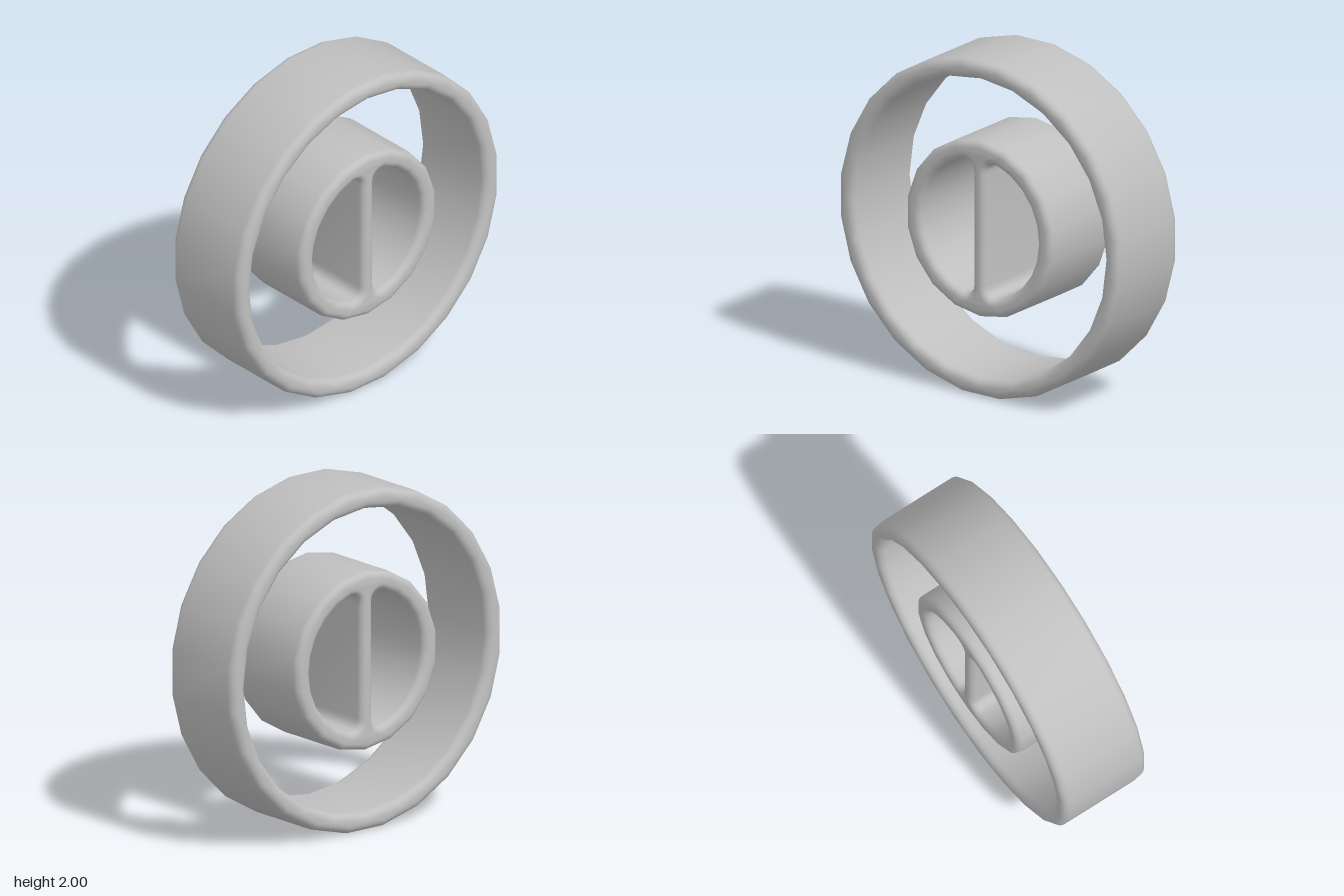
import * as THREE from 'three';
import { toCreasedNormals } from 'three/addons/utils/BufferGeometryUtils.js';

const HALF_DEPTH = 0.283;

// Points on a circle; 'start' and 'end' in degrees
function arc(radius, start, end, steps) {
  return Array.from({ length: steps + 1 }, (_, i) => {
    const a = THREE.MathUtils.degToRad(start + ((end - start) * i) / steps);
    return new THREE.Vector2(Math.cos(a) * radius, Math.sin(a) * radius);
  });
}

// Closed polygon whose flats or corners sit on the axes
function ring(radius, sides, flatsOnAxes) {
  const turn = flatsOnAxes ? 180 / sides : 0;
  const r = flatsOnAxes ? radius / Math.cos(Math.PI / sides) : radius;
  return arc(r, turn, turn + 360, sides).slice(0, -1);
}

// Extrude along z with rounded rims, keeping the drawn outline as the outer size
function roundedBand(name, outline, holes, rim, material) {
  const shape = new THREE.Shape(outline);
  shape.holes = holes.map((points) => new THREE.Path(points));
  const geometry = new THREE.ExtrudeGeometry(shape, {
    depth: 2 * (HALF_DEPTH - rim),
    bevelEnabled: true,
    bevelSize: rim,
    bevelOffset: -rim,
    bevelThickness: rim,
    bevelSegments: 5,
  });
  geometry.translate(0, 0, rim - HALF_DEPTH);
  const mesh = new THREE.Mesh(toCreasedNormals(geometry, 0.6), material);
  mesh.name = name;
  mesh.position.y = 1;
  return mesh;
}

// D-shaped opening beside the central web, with filleted corners
function halfOpening(side) {
  const webHalf = 0.044;
  const filletTop = new THREE.QuadraticBezierCurve(
    new THREE.Vector2(0.115, 0.402),
    new THREE.Vector2(webHalf, 0.405),
    new THREE.Vector2(webHalf, 0.335)
  ).getPoints(5);
  const filletBottom = filletTop.map((p) => new THREE.Vector2(p.x, -p.y)).reverse();
  const curve = arc(0.418, -74, 74, 10).slice(1, -1);
  return [...curve, ...filletTop, ...filletBottom].map((p) => new THREE.Vector2(p.x * side, p.y));
}

export function createModel() {
  const grey = new THREE.MeshStandardMaterial({ color: 0xbfbfbf });
  grey.name = 'plain grey';

  const model = new THREE.Group();
  model.name = 'concentricRings';
  // Wide outer band
  model.add(roundedBand('outerRing', ring(1, 24, true), [ring(0.897, 24, false)], 0.047, grey));
  // Inner band with its upright dividing web
  model.add(
    roundedBand('innerRingWithWeb', ring(0.52, 18, true), [halfOpening(1), halfOpening(-1)], 0.041, grey)
  );
  return model;
}
